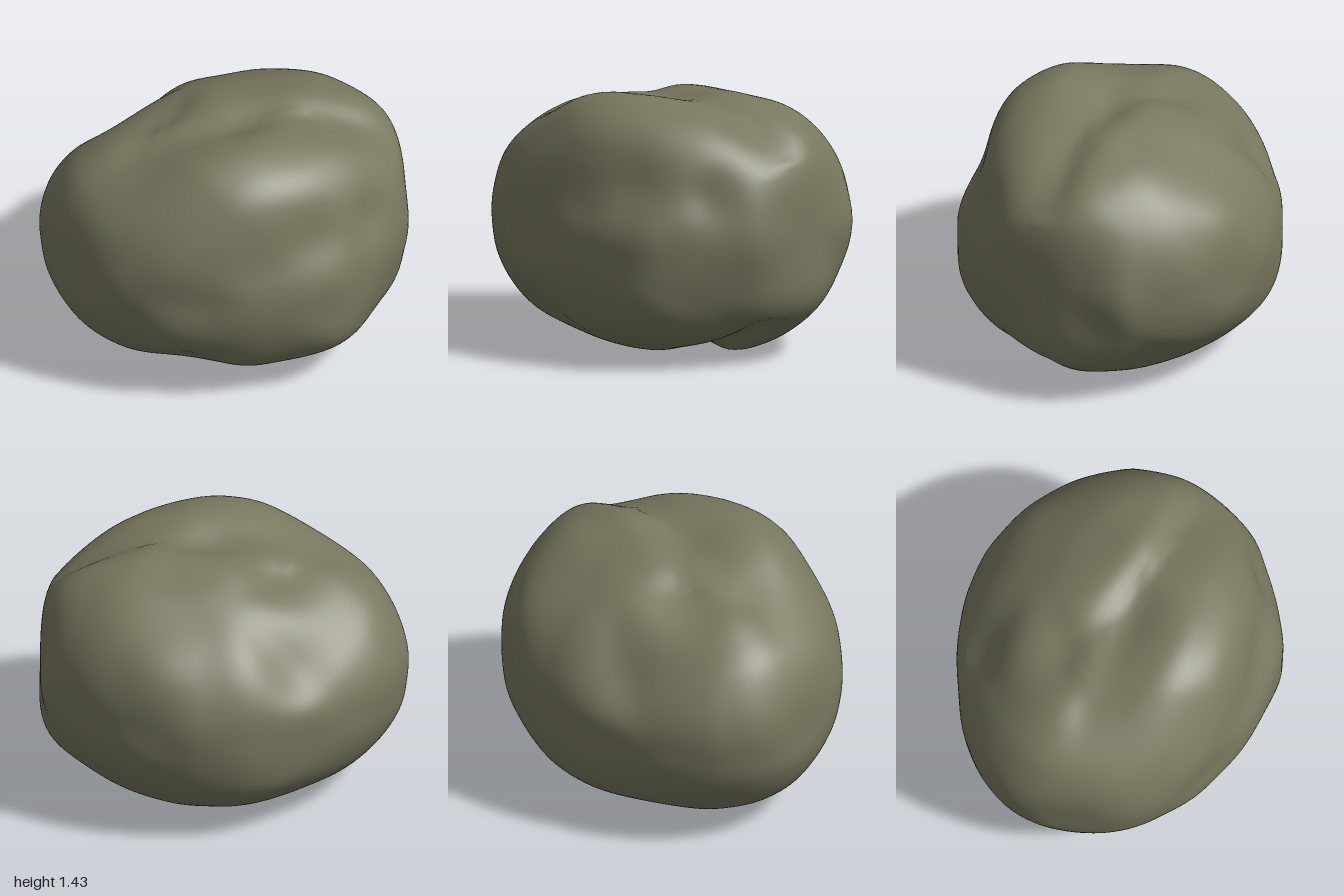
import * as THREE from 'three';
import { mergeVertices } from 'three/addons/utils/BufferGeometryUtils.js';

const MID = 0.7275; // height of the boulder's core
const SEMI = new THREE.Vector3(1, 0.7275, 0.87); // half sizes of the base ellipsoid
const TILT = THREE.MathUtils.degToRad(28); // tilt of the diagonal outlines

// Outlines of the boulder about its core, as [across, up] points
const frontOutline = [
  [1, 0], [0.97, 0.35], [0.91, 0.49], [0.76, 0.61], [0.47, 0.72], [0.22, 0.7], [-0.05, 0.69],
  [-0.32, 0.66], [-0.58, 0.58], [-0.72, 0.5], [-0.87, 0.37], [-1, 0.07], [-1, -0.11], [-0.97, -0.28],
  [-0.78, -0.56], [-0.46, -0.67], [-0.24, -0.7], [0.02, -0.69], [0.5, -0.72], [0.6, -0.7], [0.8, -0.59], [0.98, -0.4],
];
const sideOutline = [
  [-0.87, -0.09], [-0.8, 0.17], [-0.75, 0.42], [-0.69, 0.57], [-0.6, 0.67], [-0.45, 0.725], [-0.3, 0.7],
  [-0.14, 0.66], [0, 0.69], [0.12, 0.68], [0.3, 0.63], [0.45, 0.56], [0.66, 0.41], [0.8, 0.22],
  [0.87, -0.03], [0.82, -0.38], [0.7, -0.53], [0.55, -0.64], [0.4, -0.68], [0, -0.7], [-0.29, -0.72],
  [-0.5, -0.65], [-0.66, -0.59], [-0.72, -0.55], [-0.8, -0.41],
];
const topOutline = [
  [-1, 0.1], [-0.93, 0.3], [-0.87, 0.4], [-0.7, 0.56], [-0.57, 0.65], [-0.33, 0.77], [0, 0.85], [0.15, 0.87],
  [0.25, 0.86], [0.4, 0.8], [0.6, 0.69], [0.78, 0.56], [0.9, 0.45], [1, 0.33], [0.98, -0.05], [0.93, -0.4],
  [0.8, -0.55], [0.6, -0.72], [0.46, -0.82], [0.35, -0.85], [0.1, -0.87], [-0.1, -0.84], [-0.3, -0.77],
  [-0.67, -0.63], [-0.75, -0.58], [-0.85, -0.43], [-0.95, -0.1],
];
const frontDiagonal = [
  [-0.62, 0.57], [-0.37, 0.61], [-0.17, 0.59], [0.2, 0.65], [0.49, 0.56], [0.77, 0.43], [0.86, 0.33],
  [0.97, 0.02], [0.98, -0.1], [0.94, -0.31], [0.88, -0.41], [0.76, -0.59], [0.58, -0.74], [0.28, -0.84],
  [-0.03, -0.84], [-0.41, -0.72], [-0.73, -0.48], [-0.86, -0.31], [-0.93, 0], [-0.92, 0.18], [-0.84, 0.4],
];
const backDiagonal = [
  [-0.98, 0.15], [-0.88, 0.44], [-0.66, 0.68], [-0.41, 0.75], [-0.21, 0.83], [-0.08, 0.85], [0.23, 0.82],
  [0.51, 0.71], [0.62, 0.61], [0.87, 0.26], [0.93, -0.07], [0.9, -0.35], [0.69, -0.66], [0.38, -0.73],
  [0.02, -0.77], [-0.31, -0.74], [-0.48, -0.69], [-0.62, -0.62], [-0.89, -0.32], [-0.96, -0.1],
];
const lowDiagonal = [
  [-0.96, 0.11], [-0.91, 0.39], [-0.73, 0.65], [-0.41, 0.81], [-0.13, 0.76], [0.23, 0.68], [0.49, 0.47],
  [0.67, 0.24], [0.79, 0.12], [0.89, -0.14], [0.88, -0.32], [0.81, -0.49], [0.51, -0.78], [0.14, -0.82],
  [-0.38, -0.73], [-0.69, -0.62], [-0.88, -0.47], [-0.93, -0.29],
];

// An outline facing a direction: how far it departs from the ellipsoid's own outline,
// and how much it counts, at a point s of the unit sphere
function outline(points, facing, upHint = new THREE.Vector3(0, 1, 0)) {
  const n = facing.clone().normalize();
  const u = upHint.clone().cross(n).normalize();
  const v = n.clone().cross(u).multiply(SEMI);
  u.multiply(SEMI);
  n.multiply(SEMI).normalize();
  const uu = u.dot(u), uv = u.dot(v), vv = v.dot(v), det = uu * vv - uv * uv;
  const curve = new THREE.CatmullRomCurve3(
    points.map(([a, b]) => new THREE.Vector3(a, b, 0)), true, 'centripetal');
  const polar = curve.getPoints(240).slice(0, 240)
    .map((p) => [Math.atan2(p.y, p.x), Math.hypot(p.x, p.y)])
    .sort((p, q) => p[0] - q[0]);
  const first = polar[0], last = polar[polar.length - 1];
  polar.unshift([last[0] - 2 * Math.PI, last[1]]);
  polar.push([first[0] + 2 * Math.PI, first[1]]);
  return (s) => {
    const angle = Math.atan2(s.dot(v), s.dot(u));
    let i = 1;
    while (i < polar.length - 1 && polar[i][0] < angle) i++;
    const [a0, r0] = polar[i - 1], [a1, r1] = polar[i];
    const r = r0 + (r1 - r0) * (angle - a0) / Math.max(a1 - a0, 1e-6);
    const c = Math.cos(angle), e = Math.sin(angle);
    const ratio = r * Math.sqrt((vv * c * c - 2 * uv * c * e + uu * e * e) / det);
    const k = s.dot(n) ** 2;
    return [ratio, (1 - k) / (k + 0.02)];
  };
}

const diagonal = (x, y, z) => new THREE.Vector3(
  x * Math.cos(TILT) * Math.SQRT1_2, y * Math.sin(TILT), z * Math.cos(TILT) * Math.SQRT1_2);
const outlines = [
  outline(frontOutline, new THREE.Vector3(0, 0, 1)),
  outline(sideOutline, new THREE.Vector3(1, 0, 0)),
  outline(topOutline, new THREE.Vector3(0, 1, 0), new THREE.Vector3(0, 0, -1)),
  outline(frontDiagonal, diagonal(1, 1, 1)),
  outline(backDiagonal, diagonal(-1, 1, -1)),
  outline(lowDiagonal, diagonal(1, -1, -1)),
];

// Shallow dents: x, y, z, radius, depth
const dents = [
  [0.35, 1.03, 0.75, 0.2, 0.04],
  [0.72, 1.0, 0.6, 0.16, 0.05],
  [-0.4, 0.2, 0.62, 0.18, 0.04],
];

// Grooves: steep wall behind, gentle slope in front
function groove(points, depth, back, front) {
  const path = new THREE.CatmullRomCurve3(points.map((p) => new THREE.Vector3(...p))).getPoints(80);
  return (p) => {
    let best = Infinity, at = 0;
    path.forEach((q, i) => {
      const d = p.distanceToSquared(q);
      if (d < best) { best = d; at = i; }
    });
    const width = p.z < path[at].z ? back : front;
    return depth * Math.sin(Math.PI * at / 80) ** 0.7 * Math.exp(-best / width ** 2);
  };
}
const grooves = [
  groove([[-0.3, 0.66, -0.12], [0, 0.66, 0.04], [0.4, 0.65, 0.11], [0.75, 0.56, 0.14], [0.92, 0.4, 0.13]], 0.08, 0.12, 0.2),
  groove([[0.88, -0.45, 0.2], [0.76, -0.55, 0.18], [0.42, -0.67, 0.15], [0, -0.68, -0.25], [-0.28, -0.62, -0.52]],
    0.1, 0.07, 0.18),
];

function boulderGeometry() {
  let geo = new THREE.IcosahedronGeometry(1, 28);
  geo.deleteAttribute('uv');
  geo.deleteAttribute('normal');
  geo = mergeVertices(geo);
  const pos = geo.attributes.position;
  const s = new THREE.Vector3(), p = new THREE.Vector3(), c = new THREE.Vector3();
  for (let i = 0; i < pos.count; i++) {
    s.fromBufferAttribute(pos, i).normalize();
    // blend the outlines over the ellipsoid
    let sum = 0, total = 0;
    for (const at of outlines) {
      const [ratio, weight] = at(s);
      sum += ratio * weight;
      total += weight;
    }
    p.copy(s).multiply(SEMI).multiplyScalar(sum / total);
    // press in dents and grooves
    let sink = 0;
    for (const [x, y, z, radius, depth] of dents) {
      sink += depth * Math.exp(-p.distanceToSquared(c.set(x, y - MID, z)) / radius ** 2);
    }
    for (const g of grooves) sink += g(p);
    p.addScaledVector(c.copy(p).normalize(), -sink);
    pos.setXYZ(i, p.x, p.y, p.z);
  }
  // stand on the ground
  geo.computeBoundingBox();
  geo.translate(0, -geo.boundingBox.min.y, 0);
  geo.computeVertexNormals();
  return geo;
}

export function createModel() {
  const group = new THREE.Group();
  group.name = 'rock';
  const stone = new THREE.MeshStandardMaterial({ color: 0x78775f });
  stone.name = 'mossy stone';
  const boulder = new THREE.Mesh(boulderGeometry(), stone);
  boulder.name = 'boulder';
  group.add(boulder);
  return group;
}
